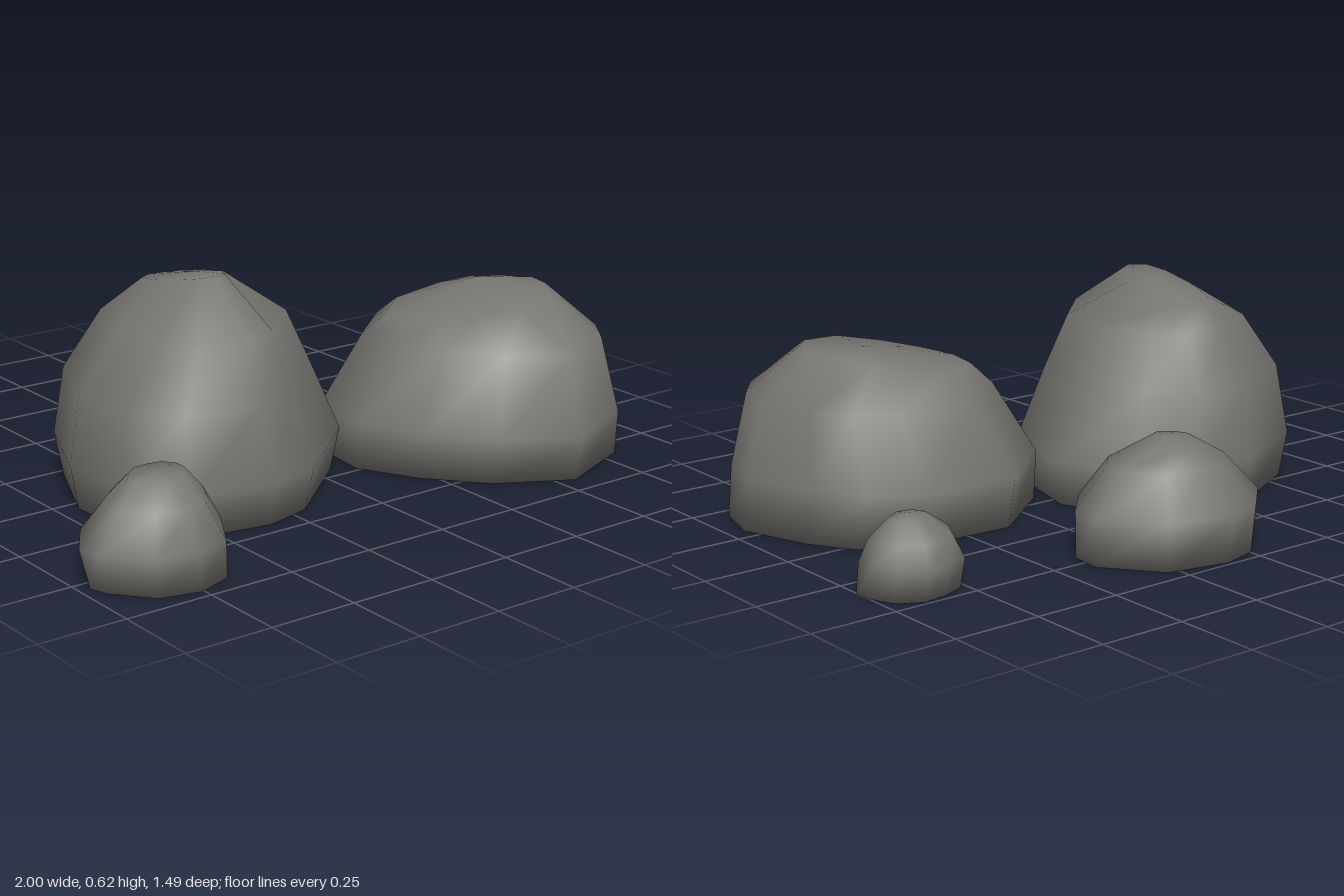
import * as THREE from 'three';

// Each rock: a plan outline [x, z], stacked rings [y, x0, x1, z0, z1, tiltX, tiltZ]
// that stretch that outline to the given box, and a peak point.
const ROCKS = {
  largeBoulder: {
    outline: [[-0.72, 0.05], [-0.6, -0.23], [-0.3, -0.39], [-0.12, -0.36], [0.05, -0.27], [0.14, -0.05],
      [0.07, 0.22], [-0.2, 0.45], [-0.35, 0.49], [-0.6, 0.45], [-0.71, 0.3]],
    rings: [
      [0, -0.69, 0.12, -0.37, 0.45],
      [0.13, -0.72, 0.14, -0.39, 0.49],
      [0.33, -0.69, 0.04, -0.33, 0.44],
      [0.49, -0.56, -0.04, -0.26, 0.36],
      [0.58, -0.38, -0.19, -0.21, 0.15, 0, 0.2]],
    peak: [-0.28, 0.6, 0.02],
  },
  wideBoulder: {
    outline: [[0.13, 0.05], [0.36, -0.14], [0.65, -0.12], [0.8, -0.04], [0.88, 0.1], [0.95, 0.32],
      [0.91, 0.48], [0.81, 0.61], [0.55, 0.72], [0.34, 0.6], [0.2, 0.43], [0.11, 0.25]],
    rings: [
      [0, 0.12, 0.95, -0.13, 0.68],
      [0.14, 0.11, 0.92, -0.14, 0.72],
      [0.35, 0.23, 0.88, -0.05, 0.63],
      [0.445, 0.28, 0.74, 0.05, 0.48, 0.14, 0.06]],
    peak: [0.6, 0.487, 0.21],
  },
  frontStone: {
    outline: [[-1, 0.54], [-0.92, 0.42], [-0.83, 0.34], [-0.74, 0.33], [-0.63, 0.35], [-0.57, 0.45],
      [-0.57, 0.55], [-0.66, 0.7], [-0.77, 0.74], [-0.89, 0.71], [-0.98, 0.6]],
    rings: [
      [0, -0.97, -0.57, 0.35, 0.72],
      [0.11, -1, -0.58, 0.33, 0.74],
      [0.2, -0.92, -0.63, 0.4, 0.67],
      [0.26, -0.85, -0.68, 0.46, 0.6]],
    peak: [-0.77, 0.265, 0.53],
  },
  backStone: {
    outline: [[-0.17, -0.42], [-0.13, -0.6], [-0.01, -0.72], [0.1, -0.75], [0.28, -0.71], [0.4, -0.55],
      [0.39, -0.45], [0.28, -0.33], [0.08, -0.27], [-0.08, -0.34]],
    rings: [
      [0, -0.16, 0.4, -0.74, -0.28],
      [0.13, -0.17, 0.4, -0.75, -0.27],
      [0.24, -0.06, 0.31, -0.66, -0.36],
      [0.292, 0.05, 0.21, -0.61, -0.47, 0, 0.2]],
    peak: [0.14, 0.305, -0.52],
  },
  pebble: {
    outline: [[0.71, -0.36], [0.76, -0.46], [0.83, -0.49], [0.9, -0.5], [0.97, -0.46], [1, -0.38],
      [1, -0.32], [0.87, -0.21], [0.76, -0.23]],
    rings: [
      [0, 0.72, 1, -0.49, -0.22],
      [0.08, 0.71, 0.99, -0.5, -0.21],
      [0.14, 0.74, 0.97, -0.47, -0.25],
      [0.19, 0.81, 0.92, -0.4, -0.32]],
    peak: [0.87, 0.2, -0.37],
  },
};

// Closed, smooth-shaded shell lofted through the rings
function rockGeometry({ outline, rings, peak }) {
  const n = outline.length;
  const box = new THREE.Box2().setFromPoints(outline.map(([x, z]) => new THREE.Vector2(x, z)));
  const size = box.getSize(new THREE.Vector2());
  const positions = [], index = [];
  for (const [y, x0, x1, z0, z1, tiltX = 0, tiltZ = 0] of rings) {
    for (const [px, pz] of outline) {
      const x = x0 + (x1 - x0) * (px - box.min.x) / size.x;
      const z = z0 + (z1 - z0) * (pz - box.min.y) / size.y;
      positions.push(x, y + tiltX * (x - (x0 + x1) / 2) + tiltZ * (z - (z0 + z1) / 2), z);
    }
  }
  const [, x0, x1, z0, z1] = rings[0];
  const top = rings.length * n, bottom = top + 1, last = top - n;
  positions.push(...peak, (x0 + x1) / 2, 0, (z0 + z1) / 2);
  for (let i = 0; i < n; i++) {
    const j = (i + 1) % n;
    for (let r = 0; r < last; r += n) {
      index.push(r + j, r + i, r + n + i, r + j, r + n + i, r + n + j);
    }
    index.push(top, last + j, last + i, bottom, i, j);
  }
  const geometry = new THREE.BufferGeometry();
  geometry.setAttribute('position', new THREE.Float32BufferAttribute(positions, 3));
  geometry.setIndex(index);
  geometry.computeVertexNormals();
  return geometry;
}

export function createModel() {
  const group = new THREE.Group();
  group.name = 'rockCluster';
  const stone = new THREE.MeshStandardMaterial({ color: 0x787672 });
  stone.name = 'stoneGrey';
  for (const [name, rock] of Object.entries(ROCKS)) {
    const mesh = new THREE.Mesh(rockGeometry(rock), stone);
    mesh.name = name;
    group.add(mesh);
  }
  return group;
}
